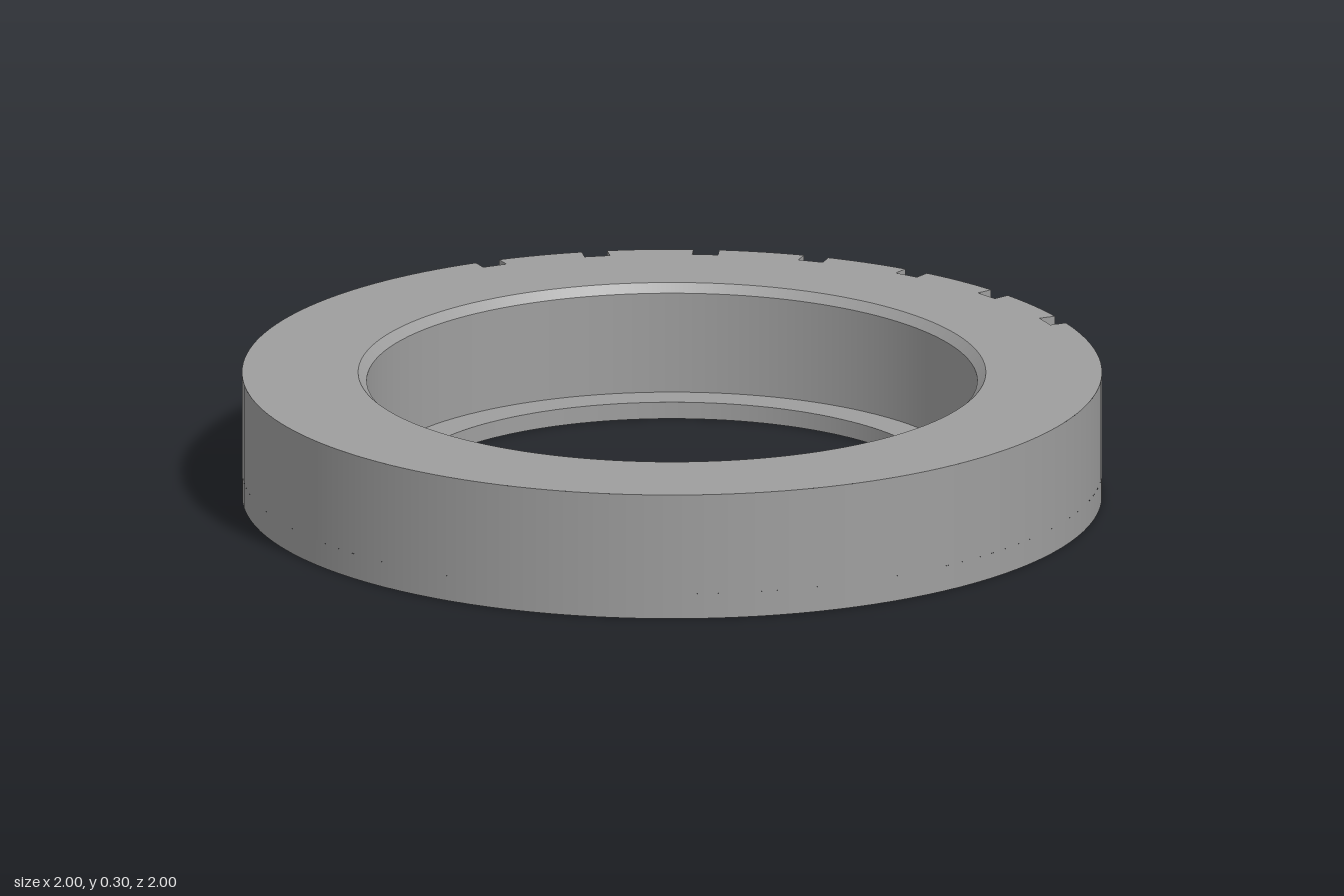
import * as THREE from 'three';

const H = 0.3, FLOOR = 0.06;            // ring height, slot floor height
const HALF = 0.03, DEPTH_R = 0.96;      // slot half width, radius of slot back wall
const STEP = Math.PI / 12, N = 3;       // slots every 15 degrees, three each side of the rear
const A = Math.asin(HALF), RIM = Math.cos(A);
const SEG = 128;

export function createModel() {
  const model = new THREE.Group();
  const grey = new THREE.MeshStandardMaterial({ color: 0x9e9e9e });
  grey.name = 'grey';

  const add = (parent, name, geometry) => {
    const mesh = new THREE.Mesh(geometry, grey);
    mesh.name = name;
    parent.add(mesh);
    return mesh;
  };

  // Turned surfaces: one band per profile segment keeps the edges crisp
  const profile = [
    [0.73, H], [0.71, H - 0.02], [0.71, 0.04], [0.628, 0.04], [0.628, 0], [1, 0], [1, FLOOR],
  ].map(([r, y]) => new THREE.Vector2(r, y));
  const names = ['boreChamfer', 'boreWall', 'innerLedge', 'holeWall', 'underside', 'lowerRim'];
  names.forEach((name, i) =>
    add(model, name, new THREE.LatheGeometry([profile[i], profile[i + 1]], SEG)));

  // Top face with notches at the rear and the bore cut out
  const top = new THREE.Shape();
  const polar = (r, a) => [r * Math.cos(a), r * Math.sin(a)];
  const innerR = Math.hypot(DEPTH_R, HALF), innerA = Math.atan2(HALF, DEPTH_R);
  const first = Math.PI / 2 - N * STEP;
  top.moveTo(...polar(1, first - A));
  for (let k = 0; k <= 2 * N; k++) {
    const c = first + k * STEP;
    top.lineTo(...polar(innerR, c - innerA));
    top.lineTo(...polar(innerR, c + innerA));
    top.lineTo(...polar(1, c + A));
    const next = k < 2 * N ? c + STEP - A : first - A + 2 * Math.PI;
    top.absarc(0, 0, 1, c + A, next, false);
  }
  const bore = new THREE.Path();
  bore.absarc(0, 0, 0.73, 0, Math.PI * 2, true);
  top.holes.push(bore);
  add(model, 'topFace', new THREE.ShapeGeometry(top, SEG / 2).rotateX(-Math.PI / 2).translate(0, H, 0));

  // Upper outer wall between the slots
  const wallH = H - FLOOR, wallY = (H + FLOOR) / 2;
  for (let k = -N; k <= N; k++) {
    const last = k === N;
    const length = (last ? 2 * Math.PI - 2 * N * STEP : STEP) - 2 * A;
    add(model, 'outerWall', new THREE.CylinderGeometry(
      1, 1, wallH, last ? 96 : 6, 1, true, Math.PI + k * STEP + A, length)).position.y = wallY;
  }

  // Slots: back wall, two cheeks and a floor
  const depth = RIM - DEPTH_R, midZ = -(RIM + DEPTH_R) / 2;
  for (let k = -N; k <= N; k++) {
    const slot = new THREE.Group();
    slot.name = 'slot';
    slot.rotation.y = k * STEP;
    add(slot, 'slotBack', new THREE.PlaneGeometry(2 * HALF, wallH)
      .rotateY(Math.PI).translate(0, wallY, -DEPTH_R));
    for (const s of [-1, 1]) {
      add(slot, 'slotCheek', new THREE.PlaneGeometry(depth, wallH)
        .rotateY(-s * Math.PI / 2).translate(s * HALF, wallY, midZ));
    }
    add(slot, 'slotFloor', new THREE.PlaneGeometry(2 * HALF, depth)
      .rotateX(-Math.PI / 2).translate(0, FLOOR, midZ));
    model.add(slot);
  }
  return model;
}
